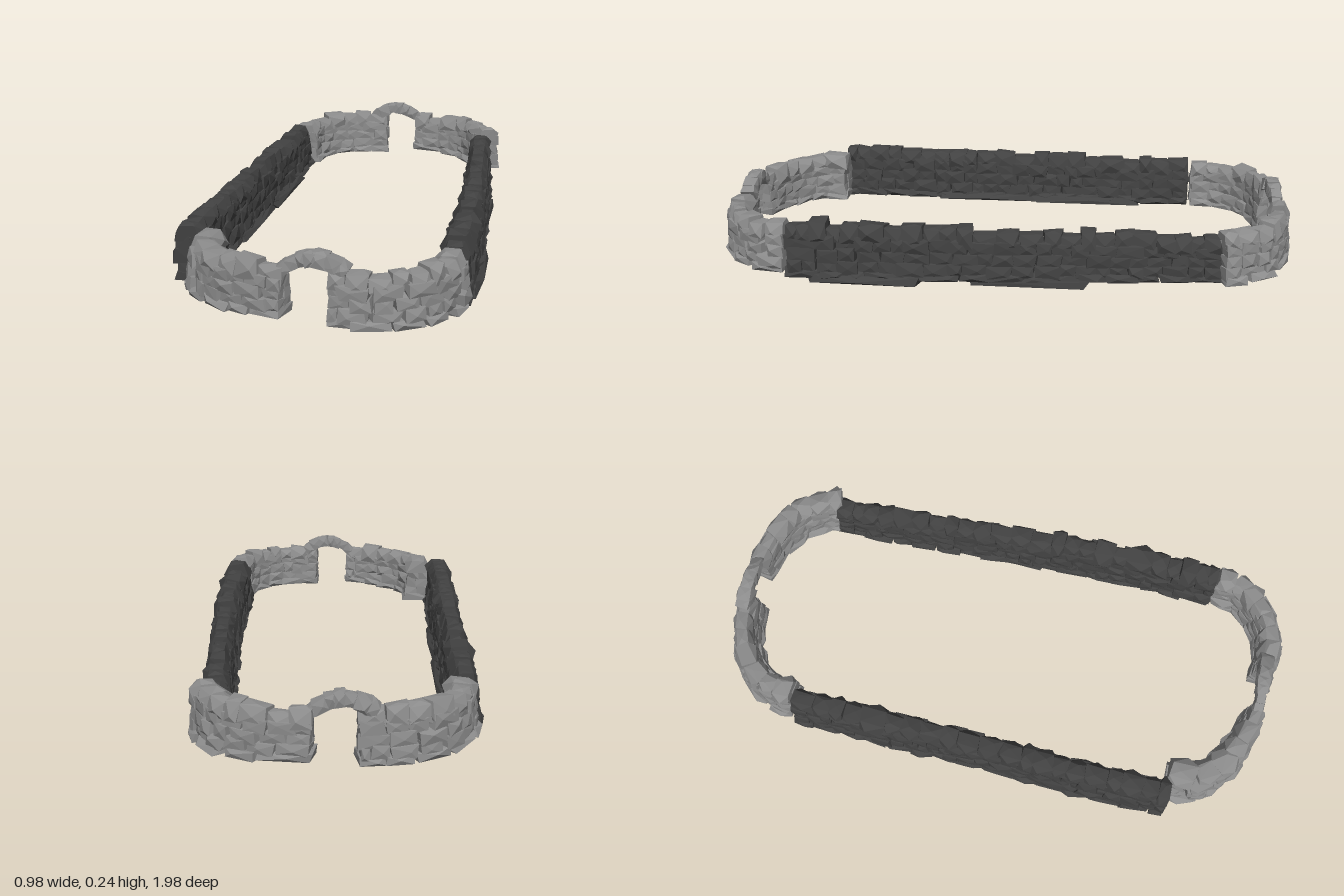
import * as THREE from 'three';
import { mergeGeometries } from 'three/addons/utils/BufferGeometryUtils.js';
import { ConvexGeometry } from 'three/addons/geometries/ConvexGeometry.js';

export function createModel() {
  const group = new THREE.Group();
  const lightStone = new THREE.MeshStandardMaterial({ color: 0x8c8c8c, flatShading: true });
  lightStone.name = 'light stone';
  const darkStone = new THREE.MeshStandardMaterial({ color: 0x424242, flatShading: true });
  darkStone.name = 'dark stone';

  // small seeded random
  let seed = 7;
  const rand = (a = 0, b = 1) => {
    seed = (seed * 16807) % 2147483647;
    return a + (b - a) * (seed / 2147483647);
  };
  const lerp = THREE.MathUtils.lerp;

  // slow swelling along the walls, shared by all courses
  const swell = (p) => 0.6 * Math.sin(p.z * 41 + p.x * 37) + 0.4 * Math.sin(p.z * 67 - p.x * 59);

  // rough block: jittered corners plus bulges on both outer faces
  // along / up / across are full sizes, pos is the middle of the block
  function stone(pos, tangent, along, up, across, { taper = 0.88, flat = false } = {}) {
    const t = tangent.clone().normalize();
    const side = new THREE.Vector3(-t.z, 0, t.x).normalize();
    const u = new THREE.Vector3().crossVectors(side, t).normalize();
    if (u.y < 0) u.negate();
    const pts = [];
    const add = (a, b, c) => pts.push(pos.clone()
      .addScaledVector(t, a * along / 2).addScaledVector(u, b * up / 2).addScaledVector(side, c * across / 2));
    for (const a of [-1, 1]) for (const b of [-1, 1]) for (const c of [-1, 1]) {
      const k = b > 0 ? taper : 1;
      add(a * rand(0.75, 1.08), flat && b < 0 ? -1 : b * rand(0.75, 1.1), c * k * rand(0.78, 1.04));
    }
    for (const c of [-1, 1]) add(rand(-0.5, 0.5), rand(-0.4, 0.4), c * rand(0.95, 1.18));
    if (!flat) add(rand(-0.4, 0.4), rand(1, 1.2), rand(-0.4, 0.4));
    return new ConvexGeometry(pts);
  }

  function addMesh(name, parts, material) {
    const mesh = new THREE.Mesh(mergeGeometries(parts), material);
    mesh.name = name;
    group.add(mesh);
  }

  // walk along a curve in random steps
  function walk(curve, min, max, fn) {
    const len = curve.getLength();
    let s = 0;
    while (s < len - 0.005) {
      let w = rand(min, max);
      if (len - s - w < min * 0.6) w = len - s;
      const f = (s + w / 2) / len;
      fn(curve.getPointAt(f), curve.getTangentAt(f), w, f);
      s += w;
    }
  }

  // dry stone wall: plinth, three courses on each side, full-width caps
  // widths and heights run from the start to the end of the path
  function wall(name, material, path, { base, top, width }) {
    const curve = new THREE.CatmullRomCurve3(path.map(([x, z]) => new THREE.Vector3(x, 0, z)));
    const parts = [];
    const at = (range, f) => lerp(range[0], range[1], f);
    walk(curve, 0.07, 0.11, (p, t, w, f) => {
      const across = at(width, f) * (1 + 0.06 * swell(p)) * rand(1.08, 1.18);
      p.y = at(base, f) + 0.014;
      parts.push(stone(p, t, w * 1.12, 0.028, across, { taper: 0.85, flat: true }));
    });
    const courses = 3;
    for (let c = 0; c < courses; c++) {
      for (const sgn of [-1, 1]) {
        walk(curve, 0.045, 0.09, (p, t, w, f) => {
          const low = at(base, f) + 0.018;
          const step = (at(top, f) - 0.045 - low) / courses;
          const half = at(width, f) / 2 * (1.04 - c * 0.08) * (1 + 0.1 * swell(p)) * rand(0.88, 1.08);
          const side = new THREE.Vector3(-t.z, 0, t.x);
          p.addScaledVector(side, sgn * half * 0.42);
          p.y = low + step * (c + 0.5) + rand(-0.004, 0.004);
          parts.push(stone(p, t, w * 1.1, step * 1.22, half * 1.16));
        });
      }
    }
    walk(curve, 0.045, 0.085, (p, t, w, f) => {
      const swelling = swell(p);
      const y1 = at(top, f) + 0.006 * swelling - rand(0, 0.018);
      const y0 = at(top, f) - 0.065;
      p.y = (y0 + y1) / 2;
      const across = at(width, f) * (1 + 0.12 * swelling) * rand(0.74, 0.92);
      parts.push(stone(p, t, w * 1.15, y1 - y0, across, { taper: 0.62 }));
    });
    addMesh(name, parts, material);
  }

  // long dark side walls, from back to front
  wall('rightSideWall', darkStone,
    [[-0.423, -0.65], [-0.42, -0.3], [-0.415, 0], [-0.417, 0.35], [-0.41, 0.7]],
    { base: [0.018, 0.014], top: [0.19, 0.21], width: [0.1, 0.1] });
  wall('leftSideWall', darkStone,
    [[0.335, -0.73], [0.355, -0.5], [0.38, -0.2], [0.398, 0], [0.415, 0.35], [0.422, 0.7]],
    { base: [0.02, 0.012], top: [0.178, 0.2], width: [0.09, 0.106] });

  // low footing slabs beside the long walls
  const slab = (x, z, length, width, y) => stone(new THREE.Vector3(x, y + 0.013, z),
    new THREE.Vector3(0, 0, 1), length, 0.026, width, { taper: 0.85, flat: true });
  addMesh('footingSlabs', [
    slab(-0.40, -0.25, 0.42, 0.1, 0.012), slab(-0.40, 0.14, 0.42, 0.1, 0.012),
    slab(0.435, 0.44, 0.42, 0.1, 0), slab(0.395, -0.12, 0.42, 0.1, 0),
  ], darkStone);

  // curved light end walls, from the side walls to the openings
  wall('frontRightCurve', lightStone,
    [[-0.33, 0.69], [-0.328, 0.765], [-0.265, 0.85], [-0.16, 0.905], [-0.03, 0.94]],
    { base: [0.02, 0.042], top: [0.205, 0.198], width: [0.125, 0.075] });
  wall('frontLeftCurve', lightStone,
    [[0.42, 0.71], [0.41, 0.79], [0.34, 0.88], [0.23, 0.937], [0.105, 0.935]],
    { base: [0.025, 0.03], top: [0.203, 0.198], width: [0.108, 0.08] });
  wall('backLeftCurve', lightStone,
    [[0.365, -0.725], [0.335, -0.79], [0.275, -0.87], [0.16, -0.925], [0.03, -0.945]],
    { base: [0.02, 0.042], top: [0.2, 0.198], width: [0.112, 0.075] });
  wall('backRightCurve', lightStone,
    [[-0.405, -0.66], [-0.395, -0.75], [-0.33, -0.85], [-0.23, -0.905], [-0.1, -0.93]],
    { base: [0.025, 0.025], top: [0.2, 0.198], width: [0.11, 0.08] });

  // thin stone arches over both openings
  for (const [name, s] of [['frontArch', 1], ['backArch', -1]]) {
    const curve = new THREE.CatmullRomCurve3([
      [-0.045, 0.168, 0.935], [-0.015, 0.193, 0.935], [0.03, 0.212, 0.93],
      [0.075, 0.215, 0.93], [0.115, 0.202, 0.93], [0.15, 0.18, 0.93],
    ].map(([x, y, z]) => new THREE.Vector3(s * x, y, s * z)));
    const parts = [];
    walk(curve, 0.025, 0.038, (p, t, w, f) => {
      const size = rand(0.9, 1.15);
      parts.push(stone(p, t, w * 1.35, size * lerp(0.036, 0.044, f), size * lerp(0.034, 0.062, f)));
    });
    addMesh(name, parts, lightStone);
  }

  // settle on the ground, centred
  const box = new THREE.Box3().setFromObject(group);
  const mid = box.getCenter(new THREE.Vector3());
  group.position.set(-mid.x, -box.min.y, -mid.z);
  return group;
}
